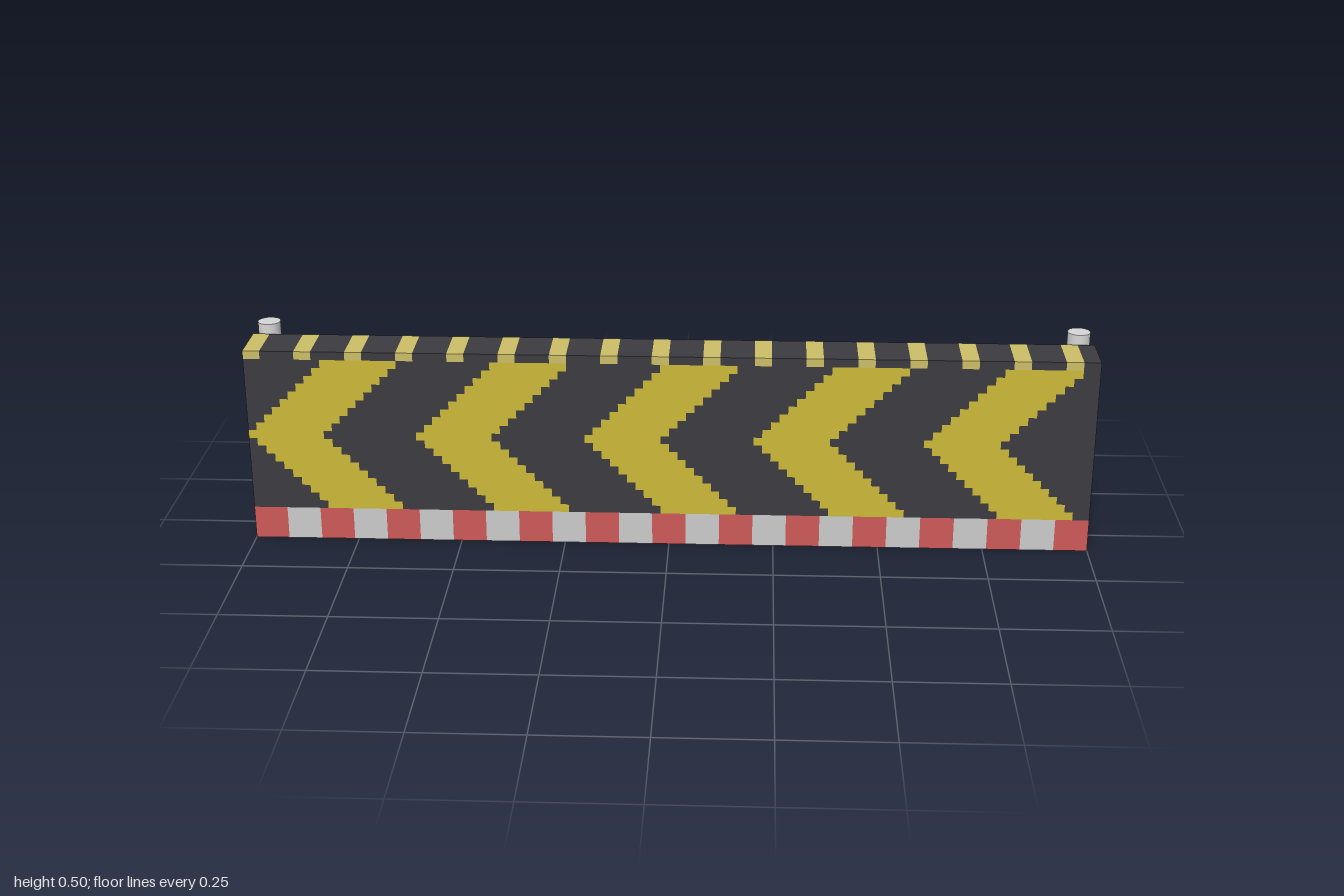
import * as THREE from 'three';
import { mergeGeometries } from 'three/addons/utils/BufferGeometryUtils.js';

const paint = (name, color) => {
  const m = new THREE.MeshStandardMaterial({ color });
  m.name = name;
  return m;
};

// board depth and row height
const BACK = -0.031, FRONT = 0.089, STEP = 0.02;

// full-depth block, trimmed to the ends of the board; null when nothing is left
function block(x0, x1, y0, y1) {
  const a = Math.max(x0, -1), b = Math.min(x1, 1);
  if (b - a < 0.001) return null;
  return new THREE.BoxGeometry(b - a, y1 - y0, FRONT - BACK)
    .translate((a + b) / 2, (y0 + y1) / 2, (FRONT + BACK) / 2);
}

export function createModel() {
  const group = new THREE.Group();
  const yellow = paint('chevron yellow', 0xcdba3a);
  const pale = paint('pale yellow', 0xcdbf68);
  const dark = paint('charcoal', 0x3c3b41);
  const red = paint('red', 0xcf5a5a);
  const white = paint('white', 0xcccccc);
  const steel = paint('post grey', 0xd8d8d8);

  const add = (name, parts, material) => {
    const mesh = new THREE.Mesh(mergeGeometries(parts.filter(Boolean)), material);
    mesh.name = name;
    group.add(mesh);
  };

  // base course of alternating blocks
  const base = [[], []];
  for (let i = 0; i < 25; i++) base[i % 2].push(block(-1 + i * 0.08, -0.92 + i * 0.08, 0, 0.08));
  add('baseRedBlocks', base[0], red);
  add('baseWhiteBlocks', base[1], white);

  // stepped chevrons pointing to -x, with dark bands between them
  const chevrons = [], gaps = [];
  for (let row = 0; row < 19; row++) {
    const y = 0.08 + row * STEP;
    const shift = Math.abs(row - 9) * STEP;
    for (let k = -1; k < 5; k++) {
      const x = -1 + k * 0.4 + shift;
      chevrons.push(block(x, x + 0.18, y, y + STEP));
      gaps.push(block(x + 0.18, x + 0.4, y, y + STEP));
    }
  }
  add('chevrons', chevrons, yellow);
  add('boardBands', gaps, dark);

  // striped cap along the top edge
  const capLight = [], capDark = [];
  for (let i = 0; i < 17; i++) {
    const x = -1 + i * 0.12;
    capLight.push(block(x, x + 0.04, 0.46, 0.48));
    capDark.push(block(x + 0.04, x + 0.12, 0.46, 0.48));
  }
  add('capStripes', capLight, pale);
  add('capBands', capDark, dark);

  // round posts behind each end
  for (const side of [-1, 1]) {
    const post = new THREE.Mesh(new THREE.CylinderGeometry(0.027, 0.027, 0.502, 32), steel);
    post.position.set(side * 0.966, 0.251, -0.062);
    post.name = side > 0 ? 'leftPost' : 'rightPost';
    group.add(post);
  }
  return group;
}
